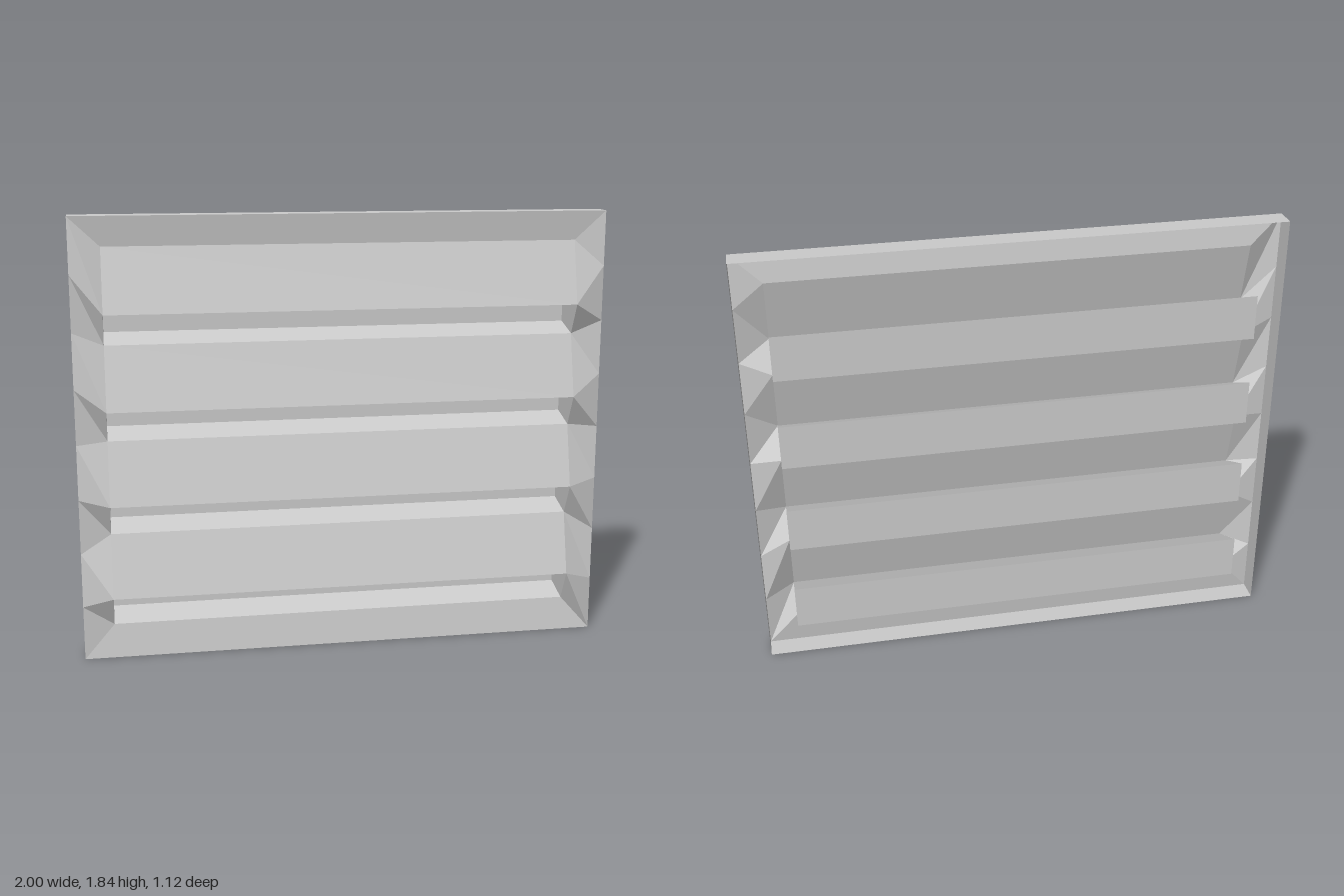
import * as THREE from 'three';

const HALF_W = 1.10, INNER_W = 0.974; // half widths of rim and pressed panel
const HEIGHT = 1.835, RIM = 0.047;    // rim height and half depth
const COUNT = 4, PITCH = 0.393;       // louvres and their spacing
const RIDGE = 0.094, VALLEY = 0.03, BACK = -0.096; // depths of the pressed sheet

const material = new THREE.MeshStandardMaterial({
  color: 0xcccccc, flatShading: true, side: THREE.DoubleSide,
});

// Mesh made of four-cornered faces, corners counter-clockwise from the front
function quadMesh(name, quads) {
  const pos = [];
  for (const [a, b, c, d] of quads) pos.push(...a, ...b, ...c, ...a, ...c, ...d);
  const geometry = new THREE.BufferGeometry();
  geometry.setAttribute('position', new THREE.Float32BufferAttribute(pos, 3));
  geometry.computeVertexNormals();
  const mesh = new THREE.Mesh(geometry, material);
  mesh.name = name;
  return mesh;
}

// Mirror a face across x, keeping its winding
const mirrored = (quad) => quad.map(([x, y, z]) => [-x, y, z]).reverse();

// Full-width strip between two [y, z] profile points, upper point first
const strip = ([y0, z0], [y1, z1]) => [
  [-INNER_W, y0, z0], [-INNER_W, y1, z1], [INNER_W, y1, z1], [INNER_W, y0, z0],
];

export function createModel() {
  const slats = [], pockets = [], border = [];
  const edge = []; // side outline of the slats, top to bottom

  for (let i = 0; i < COUNT; i++) {
    const y = 1.321 - i * PITCH; // lower lip of this louvre
    const top = [y + PITCH, VALLEY], ridge = [y + 0.13, RIDGE], lip = [y, VALLEY];
    const backTop = [y + 0.225, BACK], backBottom = [y + 0.035, BACK];

    // Tilted slat, then the pocket pressed back beneath it
    slats.push(strip(top, ridge));
    pockets.push(strip(ridge, backTop), strip(backTop, backBottom), strip(backBottom, lip));

    // Pocket ends
    const end = [ridge, lip, backBottom, backTop].map(([py, pz]) => [-INNER_W, py, pz]);
    pockets.push(end, mirrored(end));

    edge.push(top, ridge);
    if (i === COUNT - 1) edge.push(lip);
  }

  // Faceted side borders, joining the slat edges to evenly spaced rim points
  const steps = edge.length - 1;
  const rimY = (i) => HEIGHT * (1 - i / steps);
  for (let i = 0; i < steps; i++) {
    const quad = [
      [-HALF_W, rimY(i), RIM], [-HALF_W, rimY(i + 1), RIM],
      [-INNER_W, ...edge[i + 1]], [-INNER_W, ...edge[i]],
    ];
    border.push(quad, mirrored(quad));
  }

  // Top and bottom borders
  const [yTop, zTop] = edge[0], [yLow, zLow] = edge[steps];
  border.push(
    [[-HALF_W, HEIGHT, RIM], [-INNER_W, yTop, zTop], [INNER_W, yTop, zTop], [HALF_W, HEIGHT, RIM]],
    [[-INNER_W, yLow, zLow], [-HALF_W, 0, RIM], [HALF_W, 0, RIM], [INNER_W, yLow, zLow]],
  );

  // Thin rim around the open back
  const corners = [[-HALF_W, 0], [HALF_W, 0], [HALF_W, HEIGHT], [-HALF_W, HEIGHT]];
  const rim = corners.map((a, i) => {
    const b = corners[(i + 1) % 4];
    return [[...a, RIM], [...a, -RIM], [...b, -RIM], [...b, RIM]];
  });

  const panel = new THREE.Group();
  panel.name = 'louvredPanel';
  panel.add(
    quadMesh('slats', slats),
    quadMesh('louvrePockets', pockets),
    quadMesh('border', border),
    quadMesh('rim', rim),
  );
  for (const part of panel.children) part.position.y = -HEIGHT / 2;

  // Panel stands turned, leaning very slightly forward
  panel.rotation.set(0.0082, THREE.MathUtils.degToRad(-27.74), 0, 'YXZ');
  panel.position.y = HEIGHT / 2;

  const model = new THREE.Group();
  model.name = 'louvredVent';
  model.add(panel);
  return model;
}
